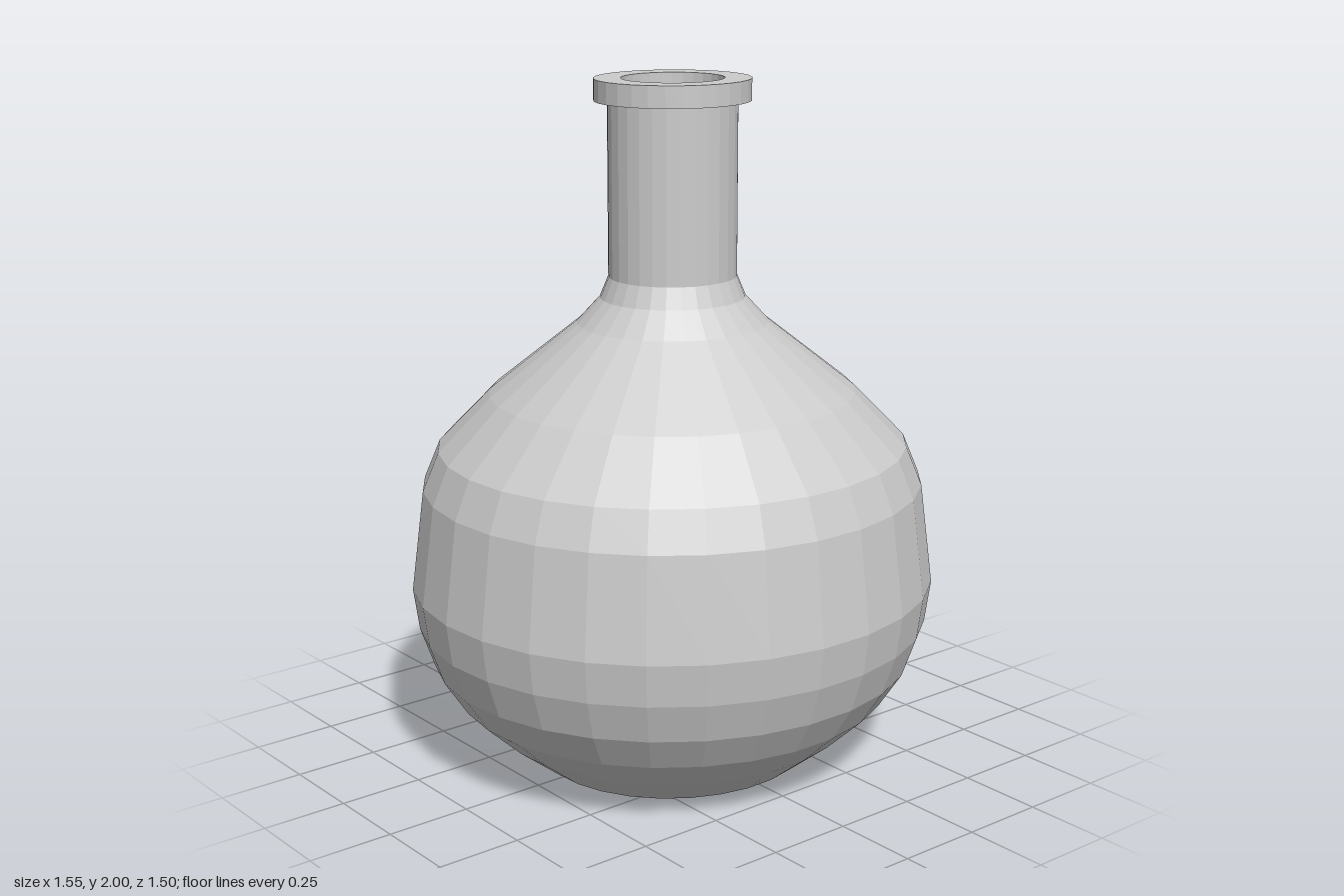
import * as THREE from 'three';

const SIDES = 29;
const DEPTH_SCALE = 0.968; // slightly narrower front to back

const material = new THREE.MeshStandardMaterial({ color: 0xcccccc, flatShading: true });

// Faceted turned part from [radius, height] points, with one corner facing the back
function turned(name, profile) {
  const points = profile.map(([r, y]) => new THREE.Vector2(r, y));
  const geometry = new THREE.LatheGeometry(points, SIDES, Math.PI);
  geometry.scale(1, 1, DEPTH_SCALE);
  geometry.translate(0, 0, 0.002);
  const mesh = new THREE.Mesh(geometry, material);
  mesh.name = name;
  return mesh;
}

export function createModel() {
  const flask = new THREE.Group();
  flask.name = 'flask';

  // Flat base and rounded belly, drawn in to the shoulder
  flask.add(turned('belly', [
    [0, 0], [0.412, 0], [0.54, 0.1], [0.648, 0.2], [0.717, 0.305], [0.758, 0.422],
    [0.775, 0.545], [0.737, 0.838], [0.69, 0.95], [0.537, 1.105], [0.28, 1.307],
    [0.212, 1.38], [0.187, 1.44],
  ]));

  // Straight neck, closed just below the mouth
  flask.add(turned('neck', [[0.187, 1.44], [0.187, 1.938], [0, 1.938]]));

  // Flared lip ring around the mouth
  flask.add(turned('lip', [
    [0.187, 1.938], [0.226, 1.938], [0.226, 2], [0.148, 2], [0.148, 1.938],
  ]));

  return flask;
}
